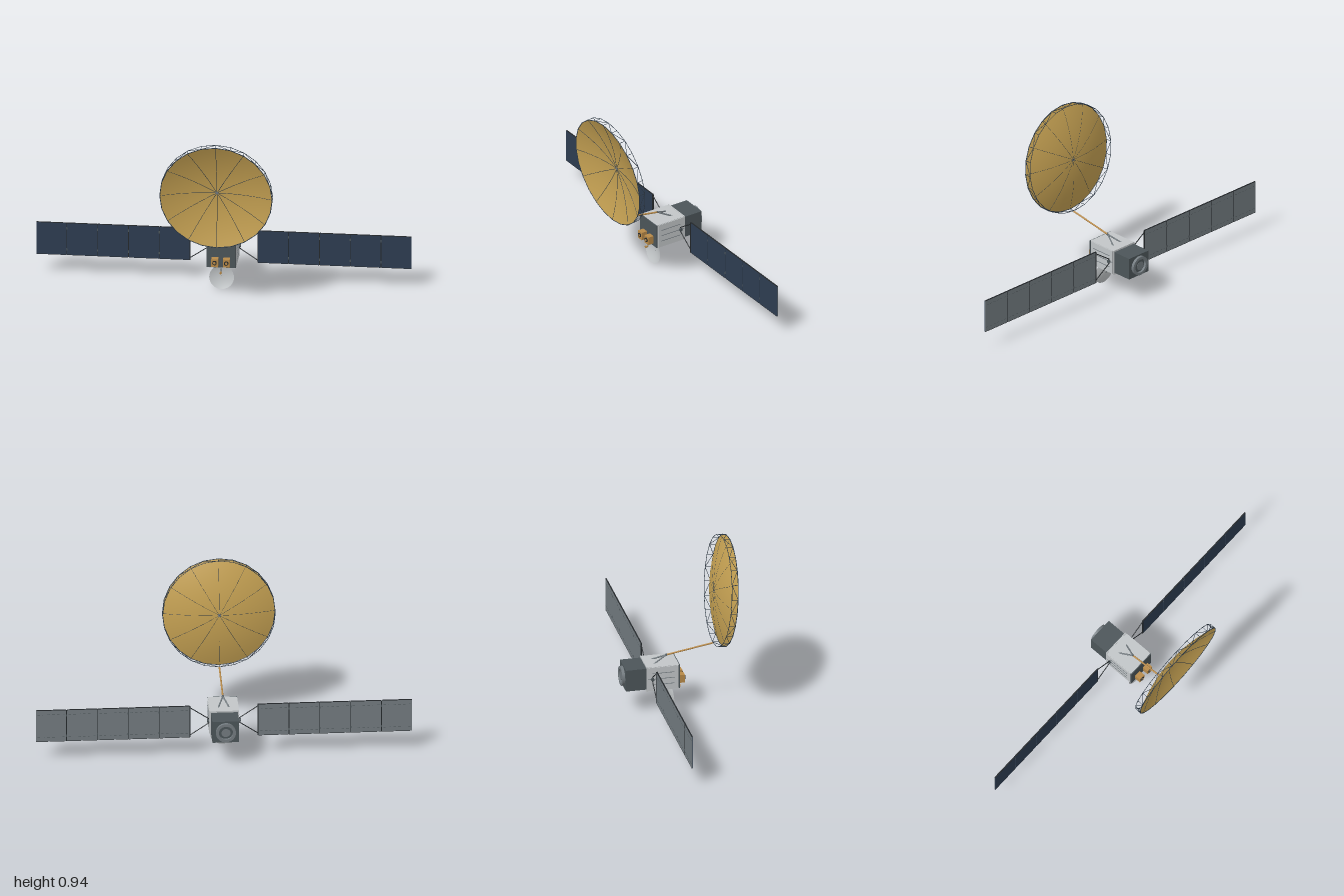
import * as THREE from 'three';

const mat = (name, color, side = THREE.FrontSide) => {
  const m = new THREE.MeshStandardMaterial({ color, side });
  m.name = name;
  return m;
};
const M = {
  gold: mat('gold mesh', 0xc4a052, THREE.DoubleSide),
  amber: mat('amber foil', 0xb88a48),
  silver: mat('silver panel', 0xc2c6c8, THREE.DoubleSide),
  dark: mat('dark grey', 0x4c5559),
  grey: mat('mid grey', 0x737b80),
  cell: mat('solar cell blue', 0x2d3c50),
  truss: mat('truss navy', 0x2e3a46),
  black: mat('near black', 0x24282b),
};

const V = (x, y, z) => new THREE.Vector3(x, y, z);

function add(parent, name, geometry, material, x = 0, y = 0, z = 0) {
  const mesh = new THREE.Mesh(geometry, material);
  mesh.name = name;
  mesh.position.set(x, y, z);
  parent.add(mesh);
  return mesh;
}
const box = (p, name, w, h, d, m, x, y, z) => add(p, name, new THREE.BoxGeometry(w, h, d), m, x, y, z);

// Cylinder whose axis runs along z
function disc(p, name, rFront, rBack, depth, m, x, y, z, sides = 32) {
  const g = new THREE.CylinderGeometry(rFront, rBack, depth, sides).rotateX(Math.PI / 2);
  return add(p, name, g, m, x, y, z);
}

// Thin rod between two points
function rod(p, name, a, b, r, m, sides = 5) {
  const d = b.clone().sub(a);
  const mesh = add(p, name, new THREE.CylinderGeometry(r, r, d.length(), sides), m);
  mesh.position.copy(a).add(b).multiplyScalar(0.5);
  mesh.quaternion.setFromUnitVectors(V(0, 1, 0), d.normalize());
  return mesh;
}

// Parabolic bowl opening toward +z with its rim at z = 0
function bowl(p, name, radius, depth, m, sides) {
  const pts = [];
  for (let i = 0; i <= 12; i++) {
    const t = i / 12;
    pts.push(new THREE.Vector2(radius * t, depth * (t * t - 1)));
  }
  return add(p, name, new THREE.LatheGeometry(pts, sides).rotateX(Math.PI / 2), m);
}

function buildMainReflector() {
  const g = new THREE.Group();
  g.name = 'mainReflector';
  const R = 0.299, depth = 0.057, back = -0.034, bays = 24;
  bowl(g, 'reflectorBowl', R, depth, M.gold, bays);
  const at = (i, z) => {
    const a = (i / bays) * Math.PI * 2;
    return V(R * Math.sin(a), R * Math.cos(a), z);
  };
  // Perimeter truss
  for (let i = 0; i < bays; i++) {
    rod(g, 'frontRim', at(i, 0), at(i + 1, 0), 0.0022, M.truss);
    rod(g, 'rearRim', at(i, back), at(i + 1, back), 0.0016, M.truss);
    rod(g, 'trussPost', at(i, 0), at(i, back), 0.0014, M.truss);
    rod(g, 'trussDiagonal', at(i, i % 2 ? 0 : back), at(i + 1, i % 2 ? back : 0), 0.0014, M.truss);
  }
  // Radial ribs lying on the bowl
  for (let i = 0; i < 12; i++) {
    const a = (i / 12) * Math.PI * 2;
    const on = t => V(R * t * Math.sin(a), R * t * Math.cos(a), depth * (t * t - 1) + 0.0004);
    for (let k = 0; k < 6; k++) rod(g, 'reflectorRib', on(k / 6), on((k + 1) / 6), 0.0013, M.truss, 4);
  }
  disc(g, 'reflectorHub', 0.008, 0.008, 0.003, M.grey, 0, 0, -depth + 0.001, 12);
  g.position.set(0, 0.64, 0.266);
  g.rotation.x = 0.1;
  return g;
}

function buildBoom() {
  const g = new THREE.Group();
  g.name = 'reflectorBoom';
  const elbow = V(0, 0.297, -0.05);
  rod(g, 'boomTube', V(0, 0.34, 0.207), elbow, 0.0045, M.amber, 10);
  add(g, 'boomElbow', new THREE.SphereGeometry(0.006, 10, 8), M.dark).position.copy(elbow);
  for (const s of [-1, 1]) rod(g, 'boomLeg', elbow, V(s * 0.03, 0.264, -0.125), 0.004, M.grey, 8);
  return g;
}

function buildBody() {
  const g = new THREE.Group();
  g.name = 'body';
  box(g, 'mainBody', 0.15, 0.138, 0.172, M.silver, 0, 0.199, -0.083);
  box(g, 'frontPlate', 0.156, 0.134, 0.007, M.dark, 0, 0.2, 0.004);
  box(g, 'rearFlange', 0.154, 0.142, 0.006, M.silver, 0, 0.199, -0.171);
  box(g, 'rearModule', 0.142, 0.122, 0.113, M.dark, 0, 0.2, -0.2285);
  // Side panels with raised heat pipes and panel drive hubs
  for (const s of [-1, 1]) {
    box(g, 'sidePanel', 0.005, 0.134, 0.162, M.silver, s * 0.0765, 0.199, -0.084);
    for (const y of [0.167, 0.2, 0.232]) {
      box(g, 'heatPipe', 0.003, 0.003, y === 0.2 ? 0.145 : 0.12, M.grey, s * 0.0795, y, y === 0.2 ? -0.095 : -0.083);
    }
    const hub = add(g, 'panelDriveHub', new THREE.CylinderGeometry(0.009, 0.009, 0.012, 16), M.dark, s * 0.083, 0.2, -0.143);
    hub.rotation.z = Math.PI / 2;
  }
  // Docking ring at the rear
  const ring = new THREE.Shape().absarc(0, 0, 0.053, 0, Math.PI * 2);
  ring.holes.push(new THREE.Path().absarc(0, 0, 0.038, 0, Math.PI * 2, true));
  const ringGeo = new THREE.ExtrudeGeometry(ring, { depth: 0.015, bevelEnabled: false, curveSegments: 32 });
  add(g, 'adapterRing', ringGeo, M.grey, 0, 0.2, -0.3);
  disc(g, 'engineBase', 0.038, 0.038, 0.003, M.dark, 0, 0.2, -0.2855);
  disc(g, 'engineNozzle', 0.014, 0.024, 0.011, M.grey, 0, 0.2, -0.2915, 24);
  return g;
}

function buildFeeds() {
  const g = new THREE.Group();
  g.name = 'feedHorns';
  for (const s of [-1, 1]) {
    box(g, 'feedBox', 0.036, 0.045, 0.034, M.amber, s * 0.031, 0.17, 0.0235);
    disc(g, 'feedAperture', 0.012, 0.012, 0.006, M.black, s * 0.031, 0.172, 0.0425, 16);
    disc(g, 'feedThroat', 0.007, 0.007, 0.001, M.amber, s * 0.031, 0.172, 0.046, 16);
  }
  return g;
}

function buildSmallDish() {
  const g = new THREE.Group();
  g.name = 'smallAntenna';
  const dish = bowl(g, 'smallDish', 0.066, 0.013, M.silver, 40);
  dish.position.set(0, 0.066, -0.022);
  dish.rotation.x = -0.1;
  rod(g, 'dishStrut', V(0, 0.066, -0.035), V(0, 0.134, -0.097), 0.0022, M.dark, 8);
  rod(g, 'feedArm', V(0, 0.111, 0.014), V(0, 0.134, -0.008), 0.0022, M.dark, 8);
  const horn = disc(g, 'smallFeed', 0.0065, 0.004, 0.016, M.amber, 0, 0.109, 0.019, 12);
  horn.rotation.x = 0.1;
  return g;
}

function buildWing(s) {
  const g = new THREE.Group();
  g.name = s > 0 ? 'leftSolarWing' : 'rightSolarWing';
  const z = -0.143, y = 0.199, h = 0.182, x0 = 0.18, pitch = 0.164;
  // Five hinged panels: cells in front, grey backing behind
  for (let i = 0; i < 5; i++) {
    const x = s * (x0 + pitch * (i + 0.5)), w = pitch - 0.004;
    box(g, 'cellPanel', w, h, 0.003, M.cell, x, y, z + 0.0015);
    box(g, 'panelBacking', w, h, 0.003, M.grey, x, y, z - 0.0015);
    for (const e of [-1, 1]) {
      for (let k = 0; k < 6; k++) {
        box(g, 'backStitch', 0.014, 0.0018, 0.001, M.dark, x + (k - 2.5) * 0.026, y + e * 0.066, z - 0.0034);
      }
      box(g, 'panelEdge', w, 0.0025, 0.0064, M.black, x, y + e * (h / 2), z);
      if (i < 4) box(g, 'hinge', 0.006, 0.012, 0.007, M.dark, s * (x0 + pitch * (i + 1)), y + e * 0.06, z);
    }
    if (i < 4) box(g, 'hingeBar', 0.004, h, 0.002, M.black, s * (x0 + pitch * (i + 1)), y, z - 0.002);
  }
  box(g, 'innerSpar', 0.005, h, 0.007, M.black, s * x0, y, z);
  // Yoke
  for (const e of [-1, 1]) {
    rod(g, 'yokeArm', V(s * 0.08, 0.2 + e * 0.012, z), V(s * x0, 0.2 + e * 0.08, z), 0.0026, M.black, 8);
  }
  return g;
}

export function createModel() {
  const model = new THREE.Group();
  model.name = 'communicationsSatellite';
  model.add(buildBody(), buildFeeds(), buildSmallDish(), buildBoom(), buildMainReflector(), buildWing(1), buildWing(-1));
  return model;
}
